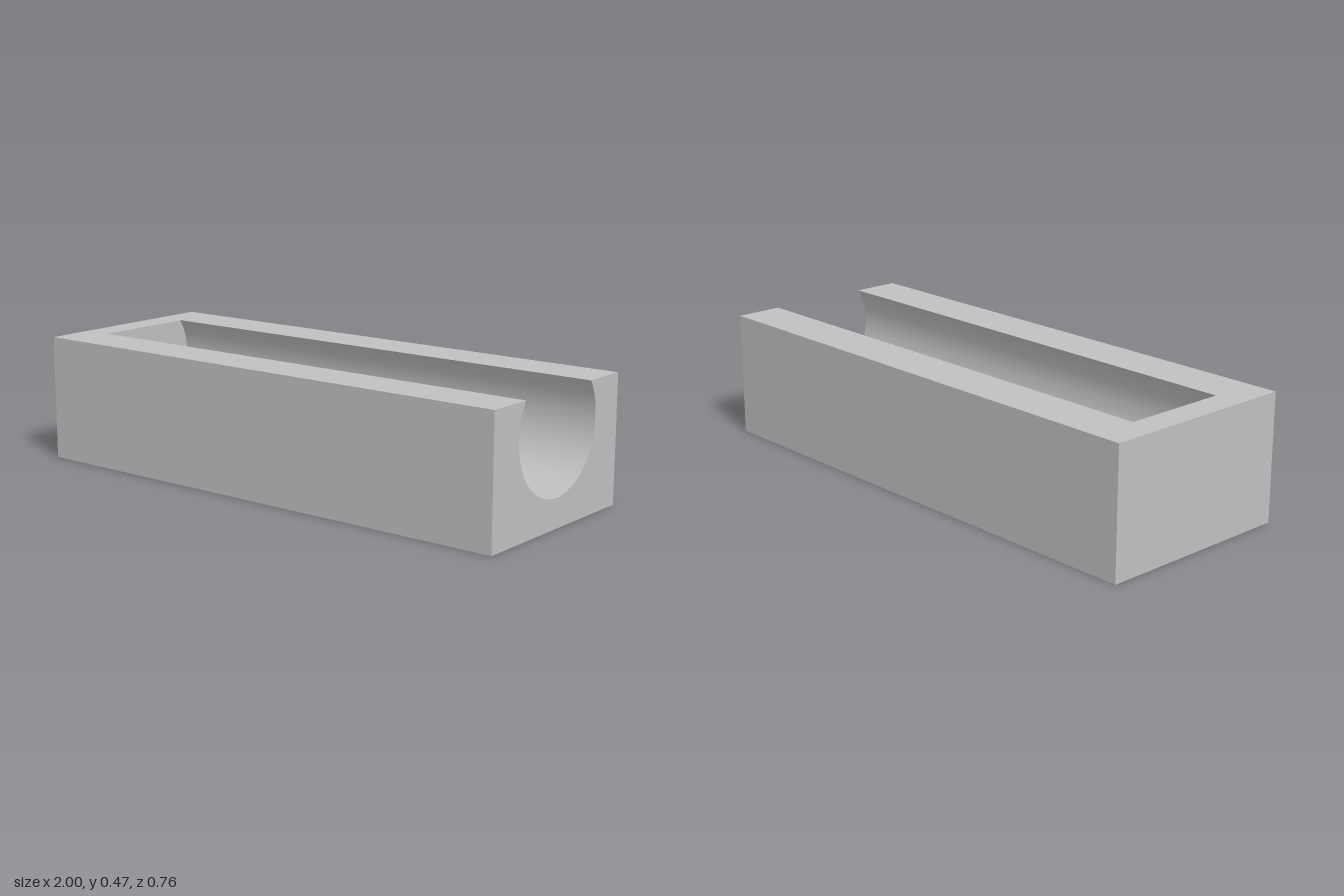
import * as THREE from 'three';
import { mergeGeometries } from 'three/addons/utils/BufferGeometryUtils.js';

const D = 0.38, H = 0.47;                 // half depth and height of the block
const R = 0.237, CY = 0.344;              // trough radius and axis height
const X0 = -0.893;                        // closed end of the trough
const HOLES = [-0.67, 0.688], HR = 0.05;  // drilled holes
const PAD = 0.09;                         // half size of the floor patch round a hole

const floorY = z => CY - Math.sqrt(R * R - z * z);
const range = (a, b, n) => Array.from({ length: n + 1 }, (_, i) => a + (b - a) * i / n);

// Trough angles from one rim to the other, with the flat middle strip kept apart
const rim = Math.acos((CY - H) / R), edge = Math.asin(PAD / R);
const strip = range(-1, 1, 16).map(t => Math.asin(PAD * Math.tan(t * Math.PI / 4) / R));
const wallA = range(-rim, -edge, 32), wallB = range(edge, rim, 32);
const arc = [...wallA.slice(0, -1), ...strip, ...wallB.slice(1)];
const rimZ = R * Math.sin(rim);

// Smooth surface over two parameter lists; fn gives [x, y, z, nx, ny, nz]
function surface(us, vs, fn) {
  const pos = [], nor = [], idx = [], n = vs.length;
  us.forEach((u, i) => vs.forEach((v, j) => {
    const p = fn(u, v);
    pos.push(...p.slice(0, 3));
    nor.push(...p.slice(3));
    if (i && j) {
      const a = (i - 1) * n + j - 1, b = a + n;
      idx.push(a, b, b + 1, a, b + 1, a + 1);
    }
  }));
  const g = new THREE.BufferGeometry();
  g.setAttribute('position', new THREE.Float32BufferAttribute(pos, 3));
  g.setAttribute('normal', new THREE.Float32BufferAttribute(nor, 3));
  g.setIndex(idx);
  return g;
}

const polygon = pts => new THREE.Shape(pts.map(p => new THREE.Vector2(...p)));
const rect = (w, y0, y1) => polygon([[-w, y0], [w, y0], [w, y1], [-w, y1]]);
const panel = shape => new THREE.ShapeGeometry(shape, 32);

function blockGeometry() {
  const slot = arc.map(p => [R * Math.sin(p), CY - R * Math.cos(p)]);
  const bottom = rect(1, -D, D);
  for (const x of HOLES) {
    bottom.holes.push(new THREE.Path().absarc(x, 0, HR, 0, Math.PI * 2, true));
  }
  const top = polygon([[-1, -D], [1, -D], [1, -rimZ], [X0, -rimZ],
    [X0, rimZ], [1, rimZ], [1, D], [-1, D]]);
  const openEnd = polygon([[-D, 0], [D, 0], [D, H], ...[...slot].reverse(), [-D, H]]);
  return mergeGeometries([
    panel(rect(1, 0, H)).translate(0, 0, D),
    panel(rect(1, 0, H)).rotateY(Math.PI).translate(0, 0, -D),
    panel(rect(D, 0, H)).rotateY(-Math.PI / 2).translate(-1, 0, 0),
    panel(openEnd).rotateY(Math.PI / 2).translate(1, 0, 0),
    panel(polygon(slot)).rotateY(Math.PI / 2).translate(X0, 0, 0),
    panel(top).rotateX(-Math.PI / 2).translate(0, H, 0),
    panel(bottom).rotateX(Math.PI / 2),
  ]);
}

function troughGeometry() {
  const bend = (p, x) => [x, CY - R * Math.cos(p), R * Math.sin(p), 0, Math.cos(p), -Math.sin(p)];
  const [a, b] = HOLES;
  const parts = [
    surface(wallA, [X0, 1], bend),
    surface(wallB, [X0, 1], bend),
    // middle strip between the holes
    ...[[X0, a - PAD], [a + PAD, b - PAD], [b + PAD, 1]].map(xs => surface(strip, xs, bend)),
  ];
  // square patches with a round opening
  for (const hx of HOLES) {
    parts.push(surface(range(0, Math.PI * 2, 64), range(0, 1, 4), (t, v) => {
      const c = Math.cos(t), s = Math.sin(t);
      const r = HR + (PAD / Math.max(Math.abs(c), Math.abs(s)) - HR) * v;
      const z = r * s, y = floorY(z);
      return [hx + r * c, y, z, 0, (CY - y) / R, -z / R];
    }));
  }
  return mergeGeometries(parts);
}

export function createModel() {
  const group = new THREE.Group();
  group.name = 'troughBlock';
  const grey = new THREE.MeshStandardMaterial({ color: 0xc0c0c0 });
  grey.name = 'grey';
  const add = (name, geometry) => {
    const mesh = new THREE.Mesh(geometry, grey);
    mesh.name = name;
    group.add(mesh);
  };

  add('block', blockGeometry());
  add('trough', troughGeometry());
  // bores through the floor, their upper edge following the trough
  HOLES.forEach((hx, i) => add('screwHole' + (i + 1),
    surface(range(0, Math.PI * 2, 64), [0, 1], (t, v) => {
      const c = Math.cos(t), s = Math.sin(t);
      return [hx + HR * c, v * floorY(HR * s), HR * s, -c, 0, -s];
    })));
  return group;
}
